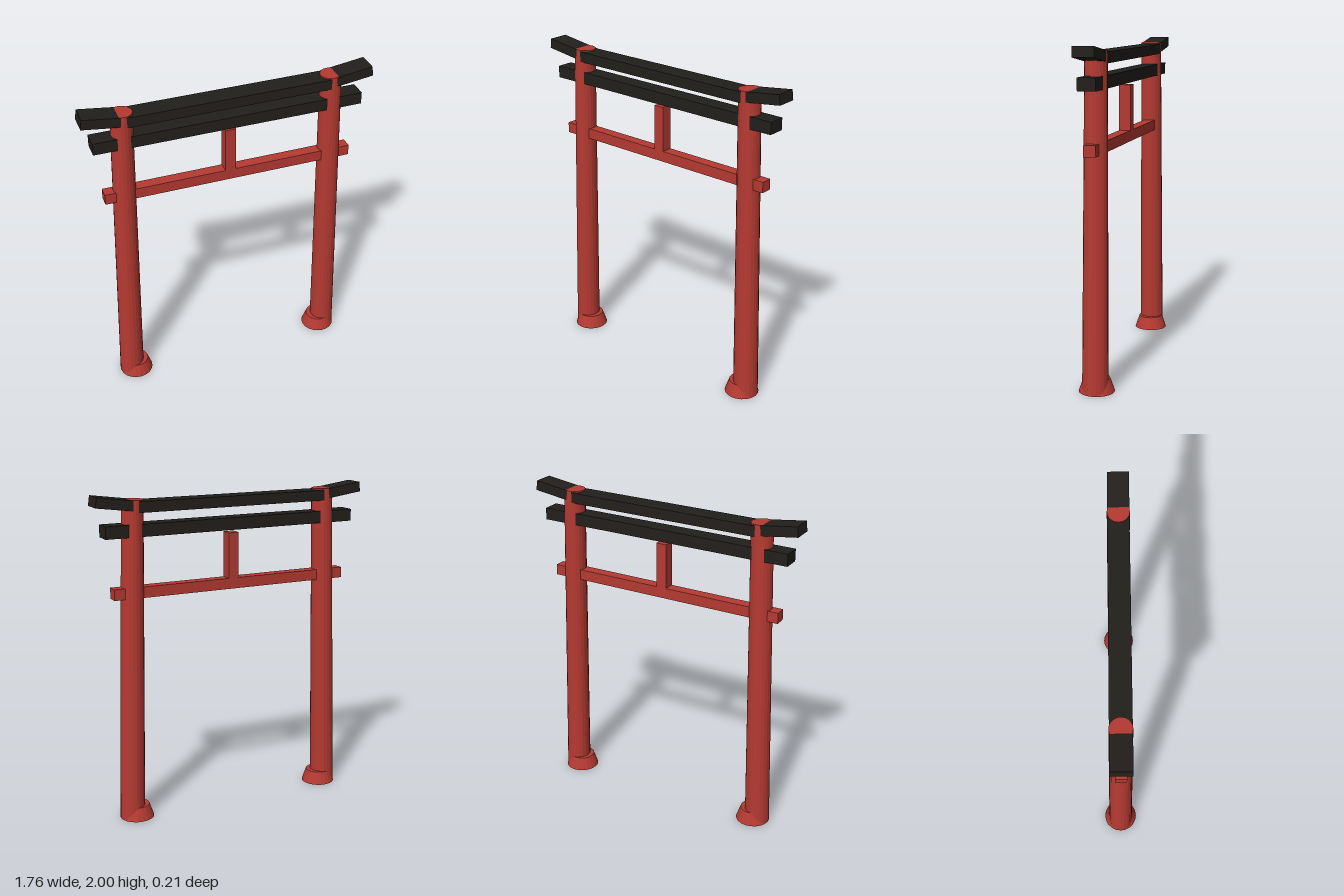
import * as THREE from 'three';

export function createModel() {
  const model = new THREE.Group();
  model.name = 'gate';
  const red = new THREE.MeshStandardMaterial({ color: 0xb53a32, flatShading: true });
  const black = new THREE.MeshStandardMaterial({ color: 0x221f1c, flatShading: true });

  function add(name, geometry, material, x, y, tilt = 0) {
    const mesh = new THREE.Mesh(geometry, material);
    mesh.name = name;
    mesh.position.set(x, y, 0);
    mesh.rotation.z = tilt;
    model.add(mesh);
  }
  const box = (w, h, d) => new THREE.BoxGeometry(w, h, d);

  for (const [side, s] of [['left', 1], ['right', -1]]) {
    // Tapered pillar leaning inwards, standing in a flared foot
    add(side + 'Pillar', new THREE.CylinderGeometry(0.065, 0.077, 1.968, 20), red, s * 0.66, 0.986, s * 0.025);
    add(side + 'Foot', new THREE.CylinderGeometry(0.079, 0.106, 0.08, 20), red, s * 0.655, 0.04);
    // Upswept end of the top beam
    add(side + 'LintelEnd', box(0.28, 0.061, 0.125), black, s * 0.739, 1.95, s * 0.135);
  }

  // Horizontal beams
  add('topLintel', box(1.25, 0.064, 0.125), black, 0, 1.928);
  add('secondLintel', box(1.646, 0.074, 0.106), black, 0, 1.792);
  add('tieBeam', box(1.548, 0.066, 0.07), red, 0, 1.423);

  // Short post standing on the tie beam
  add('centreStrut', box(0.066, 0.305, 0.072), red, 0, 1.583);

  return model;
}
